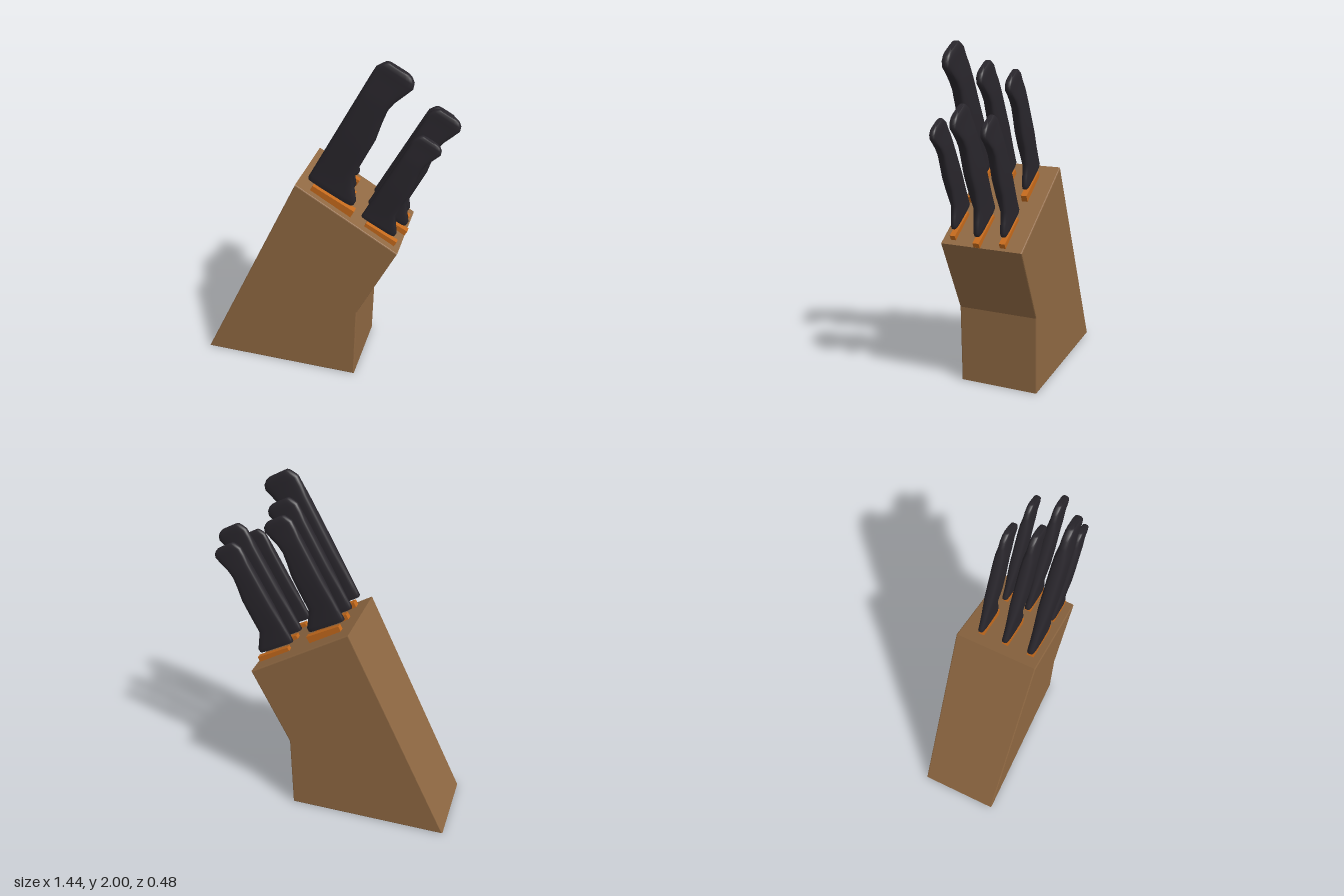
import * as THREE from 'three';
import { toCreasedNormals } from 'three/addons/utils/BufferGeometryUtils.js';

const wood = new THREE.MeshStandardMaterial({ color: 0x8f6842 });
const orange = new THREE.MeshStandardMaterial({ color: 0xc56a1c });
const black = new THREE.MeshStandardMaterial({ color: 0x29262c });

const TILT = -0.488; // lean of the knives

// Handle cross-sections: height, near edge, far edge, thickness
const SECTIONS = [
  [0, 0.004, 0.286, 0.046],
  [0.008, 0, 0.291, 0.05],
  [0.034, 0, 0.291, 0.05],
  [0.09, 0, 0.25, 0.051],
  [0.155, 0, 0.208, 0.055],
  [0.3, 0, 0.203, 0.074],
  [0.42, 0, 0.199, 0.075],
  [0.52, 0, 0.18, 0.075],
  [0.6, 0, 0.169, 0.074],
  [0.66, 0, 0.178, 0.07],
  [0.72, 0, 0.2, 0.054],
  [0.772, 0.001, 0.218, 0.052],
  [0.801, 0.018, 0.208, 0.05],
  [0.82, 0.031, 0.185, 0.043],
  [0.827, 0.042, 0.168, 0.034],
];

// Loft of rounded-rectangle rings with capped ends
function handleGeometry() {
  const N = 24;
  const soft = (c) => Math.sign(c) * Math.pow(Math.abs(c), 0.5);
  const pos = [];
  const idx = [];
  for (const [u, v0, v1, t] of SECTIONS) {
    for (let j = 0; j < N; j++) {
      const a = (j / N) * Math.PI * 2;
      pos.push((v0 + v1) / 2 + ((v1 - v0) / 2) * soft(Math.cos(a)), u, (-t / 2) * soft(Math.sin(a)));
    }
  }
  const last = SECTIONS.length - 1;
  for (let i = 0; i < last; i++) {
    for (let j = 0; j < N; j++) {
      const k = (j + 1) % N;
      const a = i * N + j, b = i * N + k, c = b + N, d = a + N;
      idx.push(a, b, c, a, c, d);
    }
  }
  for (const end of [0, last]) {
    const [u, v0, v1] = SECTIONS[end];
    const centre = pos.length / 3;
    pos.push((v0 + v1) / 2, u, 0);
    for (let j = 0; j < N; j++) {
      const a = end * N + j, b = end * N + ((j + 1) % N);
      if (end) idx.push(centre, a, b);
      else idx.push(centre, b, a);
    }
  }
  const g = new THREE.BufferGeometry();
  g.setAttribute('position', new THREE.Float32BufferAttribute(pos, 3));
  g.setIndex(idx);
  return toCreasedNormals(g, 0.9);
}

// Leaning block with slightly softened edges
function blockGeometry() {
  const bevel = 0.006;
  const half = 0.2385;
  const shape = new THREE.Shape(
    [[-0.722, 0], [0.225, 0], [0.235, 0.47], [0.457, 0.922], [-0.125, 1.266]]
      .map(([x, y]) => new THREE.Vector2(x, y))
  );
  const g = new THREE.ExtrudeGeometry(shape, {
    depth: 2 * (half - bevel),
    bevelThickness: bevel,
    bevelSize: bevel,
    bevelOffset: -bevel,
    bevelSegments: 2,
  });
  g.translate(0, 0, bevel - half);
  return g;
}

export function createModel() {
  const model = new THREE.Group();
  model.name = 'knifeBlock';

  const block = new THREE.Mesh(blockGeometry(), wood);
  block.name = 'block';
  model.add(block);

  // Two rows of three knives: row origin and size of each knife
  const rows = [
    { name: 'upperKnife', x: -0.07, y: 1.29, sizes: [1, 0.86, 0.8] },
    { name: 'lowerKnife', x: 0.235, y: 1.098, sizes: [0.74, 0.866, 0.795] },
  ];
  const lanes = [0.175, 0.022, -0.123];
  const handleGeo = handleGeometry();

  for (const row of rows) {
    row.sizes.forEach((s, i) => {
      const knife = new THREE.Group();
      knife.name = row.name + (i + 1);
      knife.position.set(row.x, row.y, lanes[i]);
      knife.rotation.z = TILT;

      const handle = new THREE.Mesh(handleGeo, black);
      handle.name = 'handle';
      handle.scale.setScalar(s);

      // Slot collar set into the sloping top of the block
      const width = 0.268 * s;
      const collar = new THREE.Mesh(new THREE.BoxGeometry(width, 0.07, 0.042 * s), orange);
      collar.name = 'slotCollar';
      collar.position.set(0.046 + width / 2, -0.054, 0);

      knife.add(handle, collar);
      model.add(knife);
    });
  }
  return model;
}
